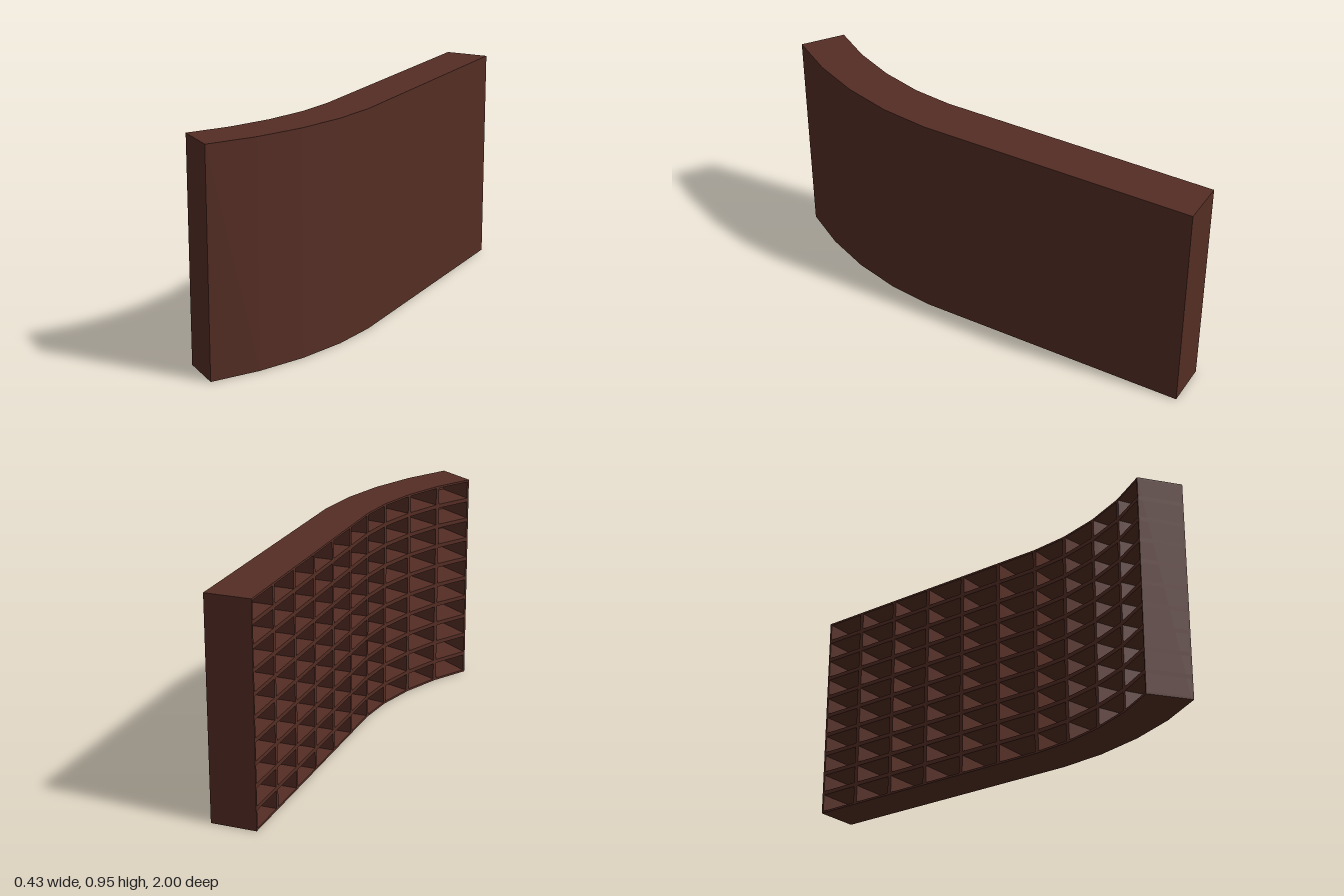
import * as THREE from 'three';

const HEIGHT = 0.95;
const ROWS = 10;
const WALL = 0.009; // half of a divider; outer walls are a single thickness

// Plan outline as [x, z] pairs: open concave side and closed convex side
const openSide = [], closedSide = [];
for (let i = 0; i <= 6; i++) {
  openSide.push([0.021, -1 + i * 0.2]);
  closedSide.push([0.217, -1 + i * 0.2]);
}
openSide.push([0.002, 0.37], [-0.046, 0.55], [-0.12, 0.725], [-0.217, 0.886]);
closedSide.push([0.193, 0.405], [0.137, 0.615], [0.053, 0.814], [-0.058, 1]);

const lerp = (a, b, t) => [a[0] + (b[0] - a[0]) * t, a[1] + (b[1] - a[1]) * t];

// Extrude a plan polygon upwards from y0
function slab(name, points, y0, height, material) {
  const shape = new THREE.Shape(points.map(([x, z]) => new THREE.Vector2(x, -z)));
  const geometry = new THREE.ExtrudeGeometry(shape, { depth: height, bevelEnabled: false });
  geometry.rotateX(-Math.PI / 2);
  const mesh = new THREE.Mesh(geometry, material);
  mesh.name = name;
  mesh.position.y = y0;
  return mesh;
}

export function createModel() {
  const group = new THREE.Group();
  group.name = 'curvedShelfWall';
  const wood = new THREE.MeshStandardMaterial({ color: 0x542d24 });
  wood.name = 'dark brown wood';

  // Line just inside the closed side, where shelves meet the back panel
  const backLine = closedSide.map((p, i) => lerp(p, openSide[i], WALL / 0.196));

  // Back panel
  group.add(slab('backPanel', [...closedSide, ...backLine.slice().reverse()], 0, HEIGHT, wood));

  // Horizontal shelves, thinner at the very top and bottom
  const shelfPlan = [...openSide, ...backLine.slice().reverse()];
  for (let r = 0; r <= ROWS; r++) {
    const y = (HEIGHT * r) / ROWS;
    const y0 = Math.max(0, y - WALL);
    const y1 = Math.min(HEIGHT, y + WALL);
    group.add(slab('shelf', shelfPlan, y0, y1 - y0, wood));
  }

  // Upright dividers, following the curve
  const last = openSide.length - 1;
  openSide.forEach((a, i) => {
    const b = backLine[i];
    const length = Math.hypot(b[0] - a[0], b[1] - a[1]);
    const side = [-(b[1] - a[1]) / length, (b[0] - a[0]) / length];
    const shift = (p, s) => [p[0] + side[0] * s, p[1] + side[1] * s];
    const from = i === 0 ? 0 : -WALL;
    const to = i === last ? 0 : WALL;
    const plan = [shift(a, from), shift(b, from), shift(b, to), shift(a, to)];
    group.add(slab(i === 0 || i === last ? 'endPanel' : 'divider', plan, 0, HEIGHT, wood));
  });

  return group;
}
